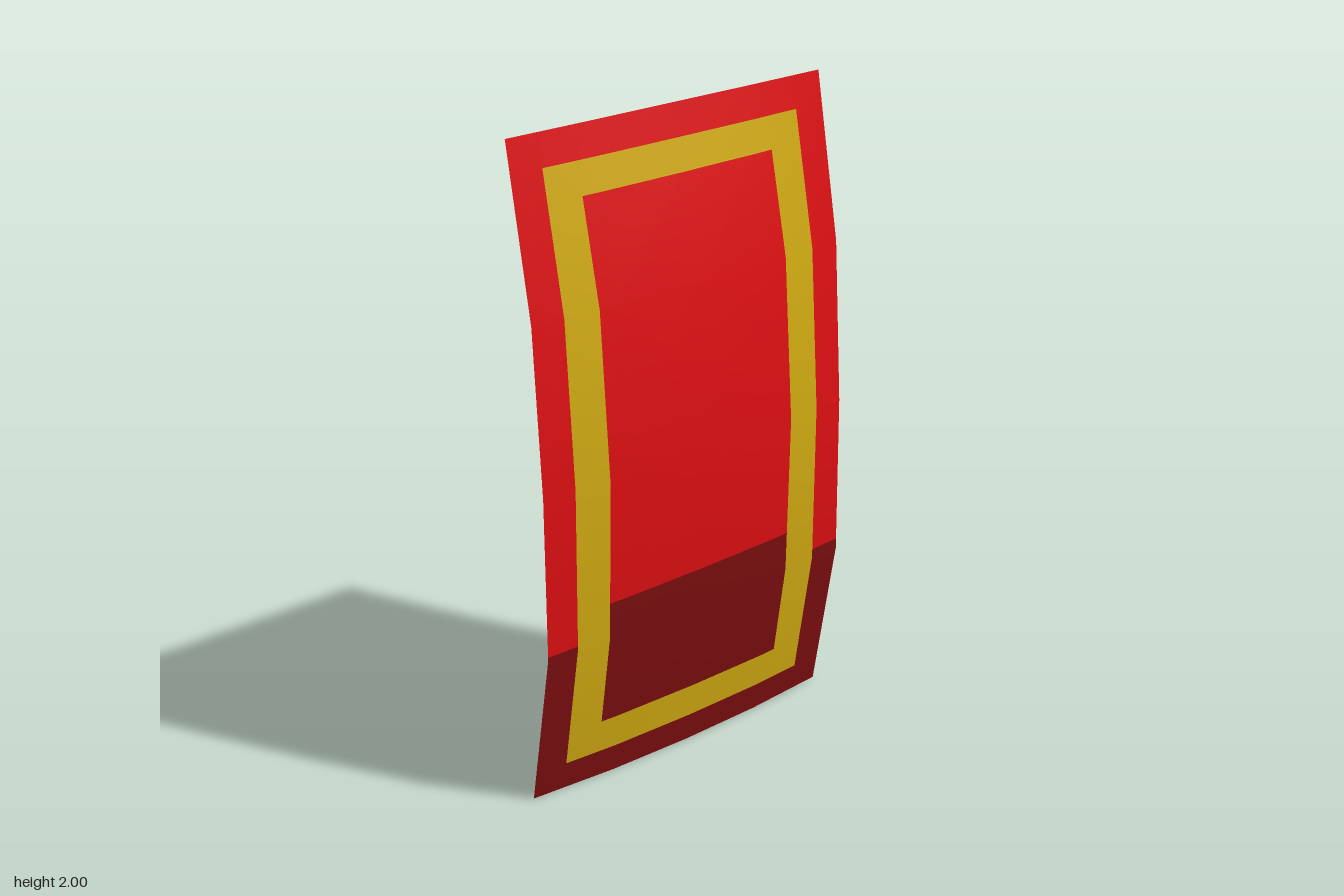
import * as THREE from 'three';

// Height field of the bowed cloth: rows run up the sheet, columns from centre to edge
const W = 0.565, H = 2;
const ROWS = [
  [-0.015, -0.022, -0.045],
  [0.055, 0.053, 0.045],
  [0.08, 0.07, 0.042],
  [0.04, 0.033, 0.01],
  [-0.08, -0.08, -0.083],
];
const X_KNOTS = [-W / 2, 0, W / 2];
const Y_KNOTS = [0.5, 1, 1.5];
const lerp = THREE.MathUtils.lerp;

function depth(x, y) {
  const u = Math.min(Math.abs(x) / (W / 2), 2), v = THREE.MathUtils.clamp(y / 0.5, 0, 4);
  const i = Math.min(Math.floor(u), 1), j = Math.min(Math.floor(v), 3);
  const across = (row) => lerp(row[i], row[i + 1], u - i);
  return lerp(across(ROWS[j]), across(ROWS[j + 1]), v - j);
}

// Smoothed normal from differences over about one knot spacing
function normalAt(x, y) {
  const xa = Math.max(x - 0.14, -W), xb = Math.min(x + 0.14, W);
  const ya = Math.max(y - 0.25, 0), yb = Math.min(y + 0.25, H);
  return new THREE.Vector3(
    -(depth(xb, y) - depth(xa, y)) / (xb - xa),
    -(depth(x, yb) - depth(x, ya)) / (yb - ya), 1).normalize();
}

// Piece of cloth between x0 and x1, bounded below and above by lines bottom(x) and top(x)
function patch(x0, x1, bottom, top) {
  const bot = typeof bottom === 'number' ? () => bottom : bottom;
  const up = typeof top === 'number' ? () => top : top;
  const xs = [x0, ...X_KNOTS.filter((k) => k > x0 && k < x1), x1];
  const inner = Y_KNOTS.filter((k) => k > bot(x0) && k < up(x0));
  const pos = [], nor = [], idx = [];
  const n = inner.length + 2;
  xs.forEach((x, i) => {
    [bot(x), ...inner, up(x)].forEach((y, j) => {
      pos.push(x, y, depth(x, y));
      nor.push(...normalAt(x, y).toArray());
      if (i && j) {
        const d = i * n + j, b = d - n;
        idx.push(b - 1, d - 1, d, b - 1, d, b);
      }
    });
  });
  const geo = new THREE.BufferGeometry();
  geo.setAttribute('position', new THREE.Float32BufferAttribute(pos, 3));
  geo.setAttribute('normal', new THREE.Float32BufferAttribute(nor, 3));
  geo.setIndex(idx);
  return geo;
}

export function createModel() {
  const group = new THREE.Group();
  group.name = 'banner';
  const material = (name, color) => {
    const m = new THREE.MeshStandardMaterial({ color, side: THREE.DoubleSide });
    m.name = name;
    return m;
  };
  const red = material('red cloth', 0xdd0f12);
  const dark = material('dark red cloth', 0x7c0e10);
  const gold = material('gold trim', 0xd0aa12);
  const add = (name, mat, ...bounds) => {
    const mesh = new THREE.Mesh(patch(...bounds), mat);
    mesh.name = name;
    group.add(mesh);
  };

  // Outer and inner edges of the gold frame
  const ox = 0.46, oy0 = 0.09, oy1 = 1.905;
  const ix = 0.345, iy0 = 0.2, iy1 = 1.81;
  // Slightly slanted lines where the cloth darkens
  const outerLine = (x) => 0.52 + 0.02 * x;
  const innerLine = (x) => 0.617 + 0.015 * x;

  // Side margins and side bars of the frame
  for (const [side, s] of [['left', 1], ['right', -1]]) {
    const [m0, m1] = s > 0 ? [ox, W] : [-W, -ox];
    const [f0, f1] = s > 0 ? [ix, ox] : [-ox, -ix];
    add(side + 'MarginLower', dark, m0, m1, 0, outerLine);
    add(side + 'MarginUpper', red, m0, m1, outerLine, H);
    add(side + 'Trim', gold, f0, f1, oy0, oy1);
  }

  // Top and bottom margins and bars
  add('bottomMargin', dark, -ox, ox, 0, oy0);
  add('topMargin', red, -ox, ox, oy1, H);
  add('bottomTrim', gold, -ix, ix, oy0, iy0);
  add('topTrim', gold, -ix, ix, iy1, oy1);

  // Central field
  add('fieldLower', dark, -ix, ix, iy0, innerLine);
  add('fieldUpper', red, -ix, ix, innerLine, iy1);
  return group;
}
